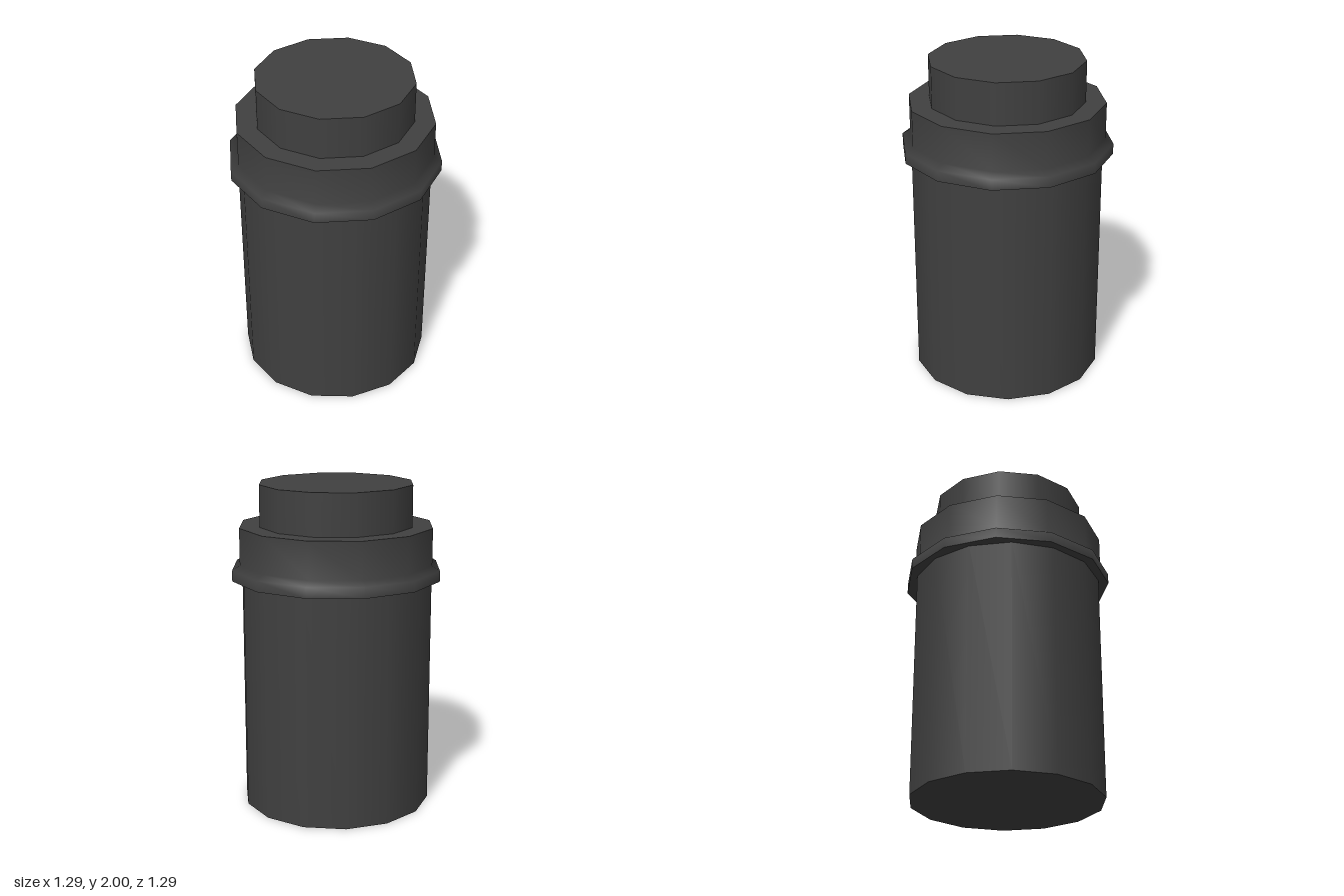
import * as THREE from 'three';

const material = new THREE.MeshStandardMaterial({ color: 0x404040 });

// Turned solid; a point given twice keeps a hard edge at that corner.
function turned(name, sides, phiStart, profile) {
  const points = profile.map(([r, y]) => new THREE.Vector2(r, y));
  const mesh = new THREE.Mesh(new THREE.LatheGeometry(points, sides, phiStart), material);
  mesh.name = name;
  return mesh;
}

// Closed drum with hard rims
const drum = (r, y0, y1) => [[0, y0], [r, y0], [r, y0], [r, y1], [r, y1], [0, y1]];

export function createModel() {
  const model = new THREE.Group();
  model.name = 'canister';

  // Main body, 14 sides with a corner on the x axis
  model.add(turned('body', 14, Math.PI / 2, drum(0.585, 0, 1.44)));

  // Collar with a flared lip, smooth from lip to wall
  model.add(turned('collar', 12, 0, [
    [0, 1.425], [0.645, 1.425], [0.645, 1.425],
    [0.645, 1.49], [0.597, 1.52],
    [0.597, 1.745], [0.597, 1.745], [0, 1.745],
  ]));

  // Cap
  model.add(turned('cap', 12, 0, drum(0.473, 1.73, 2)));

  return model;
}
